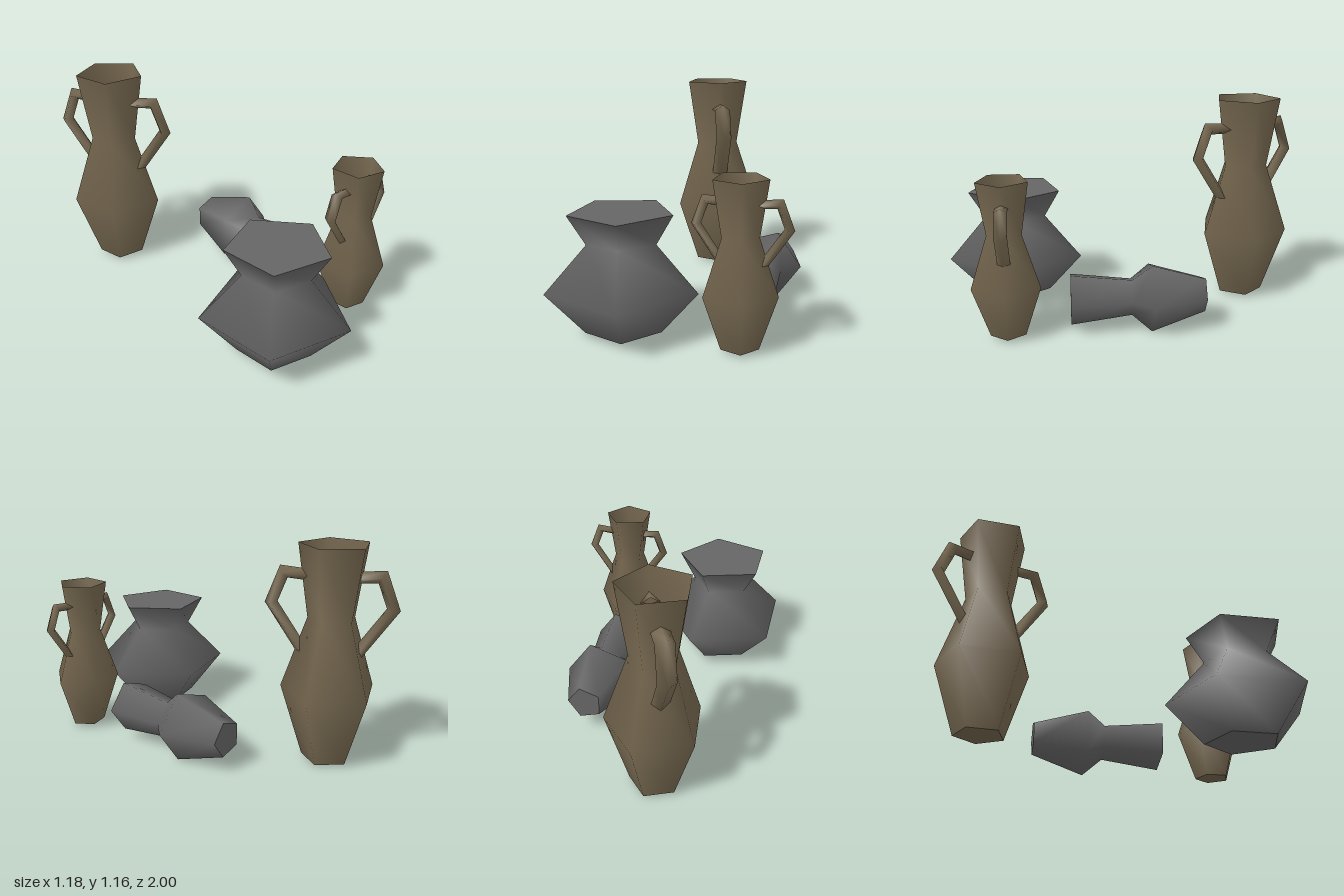
import * as THREE from 'three';

const SIDES = 5;

export function createModel() {
  const clay = new THREE.MeshStandardMaterial({ name: 'brownClay', color: 0x75674f, side: THREE.DoubleSide });
  const stone = new THREE.MeshStandardMaterial({ name: 'greyClay', color: 0x656565 });
  const inside = new THREE.MeshStandardMaterial({ name: 'blueGreyInside', color: 0x686868 });

  const add = (parent, name, geometry, material) => {
    const mesh = new THREE.Mesh(geometry, material);
    mesh.name = name;
    parent.add(mesh);
    return mesh;
  };

  // Five-sided turned wall with one corner on +x; profile is [radius, height] from the foot up
  const wall = (profile) => new THREE.LatheGeometry(
    profile.map(([r, y]) => new THREE.Vector2(r, y)), SIDES, Math.PI / 2);

  // Flat five-sided disc facing up or down
  const disc = (r, y, up = true) => {
    const g = new THREE.CircleGeometry(r, SIDES);
    g.rotateX(up ? -Math.PI / 2 : Math.PI / 2);
    return g.translate(0, y, 0);
  };

  // Handle: diamond cross-section mitred along a bent path in the xy plane
  function handleGeometry() {
    const path = [[0.08, 0.735], [0.18, 0.743], [0.225, 0.625], [0.085, 0.42]]
      .map(([x, y]) => new THREE.Vector2(x, y));
    const thick = 0.022, wide = 0.033;
    const pos = [], index = [];
    path.forEach((p, i) => {
      const before = p.clone().sub(path[Math.max(i - 1, 0)]).normalize();
      const after = path[Math.min(i + 1, path.length - 1)].clone().sub(p).normalize();
      const t = before.clone().add(after).normalize();
      const miter = thick / Math.max(t.dot(i ? before : after), 0.5);
      const nx = -t.y * miter, ny = t.x * miter;
      pos.push(p.x + nx, p.y + ny, 0, p.x, p.y, wide, p.x - nx, p.y - ny, 0, p.x, p.y, -wide);
    });
    for (let i = 0; i < path.length - 1; i++) {
      for (let k = 0; k < 4; k++) {
        const a = i * 4 + k, b = i * 4 + (k + 1) % 4;
        index.push(a, b, a + 4, b, b + 4, a + 4);
      }
    }
    const g = new THREE.BufferGeometry();
    g.setAttribute('position', new THREE.Float32BufferAttribute(pos, 3));
    g.setIndex(index);
    g.computeVertexNormals();
    return g;
  }

  // Two-handled jar, open at the rim and closed at the neck and foot
  function jar(name) {
    const g = new THREE.Group();
    g.name = name;
    add(g, 'jarBody', wall([[0.097, 0], [0.188, 0.275], [0.094, 0.555], [0.138, 0.835]]), clay);
    add(g, 'jarFoot', disc(0.097, 0, false), clay);
    add(g, 'jarNeckFloor', disc(0.094, 0.555), clay);
    add(g, 'jarNeckCentre', disc(0.072, 0.56), inside);
    const shape = handleGeometry();
    for (const [side, turn] of [['left', 0], ['right', Math.PI]]) {
      const h = add(g, side + 'Handle', shape, clay);
      h.position.set(0.008, -0.02, 0);
      h.rotation.y = turn;
    }
    return g;
  }

  // Closed pot without handles
  function pot(name, profile) {
    const g = new THREE.Group();
    g.name = name;
    const [foot, rim] = [profile[0], profile[profile.length - 1]];
    add(g, 'potBody', wall(profile), stone);
    add(g, 'potFoot', disc(foot[0], foot[1], false), stone);
    add(g, 'potTop', disc(rim[0], rim[1]), stone);
    return g;
  }

  const model = new THREE.Group();
  model.name = 'pottery';

  const smallJar = jar('smallJar');
  smallJar.position.set(0.332, 0.02, 0.64);

  const tallJar = jar('tallJar');
  tallJar.scale.setScalar(1.375);
  tallJar.rotation.y = -1.141;
  tallJar.position.set(-0.187, 0.02, -0.705);

  const widePot = pot('widePot', [[0.2, 0.035], [0.395, 0.26], [0.18, 0.49], [0.27, 0.645]]);
  widePot.position.set(-0.275, 0, 0.62);

  // Pot lying on its side, mouth to the front
  const fallenPot = pot('fallenPot', [[0.098, -0.41], [0.197, -0.12], [0.105, -0.015], [0.146, 0.31]]);
  fallenPot.rotation.x = Math.PI / 2;
  fallenPot.position.set(0.288, 0.192, 0);

  model.add(smallJar, tallJar, widePot, fallenPot);
  return model;
}
